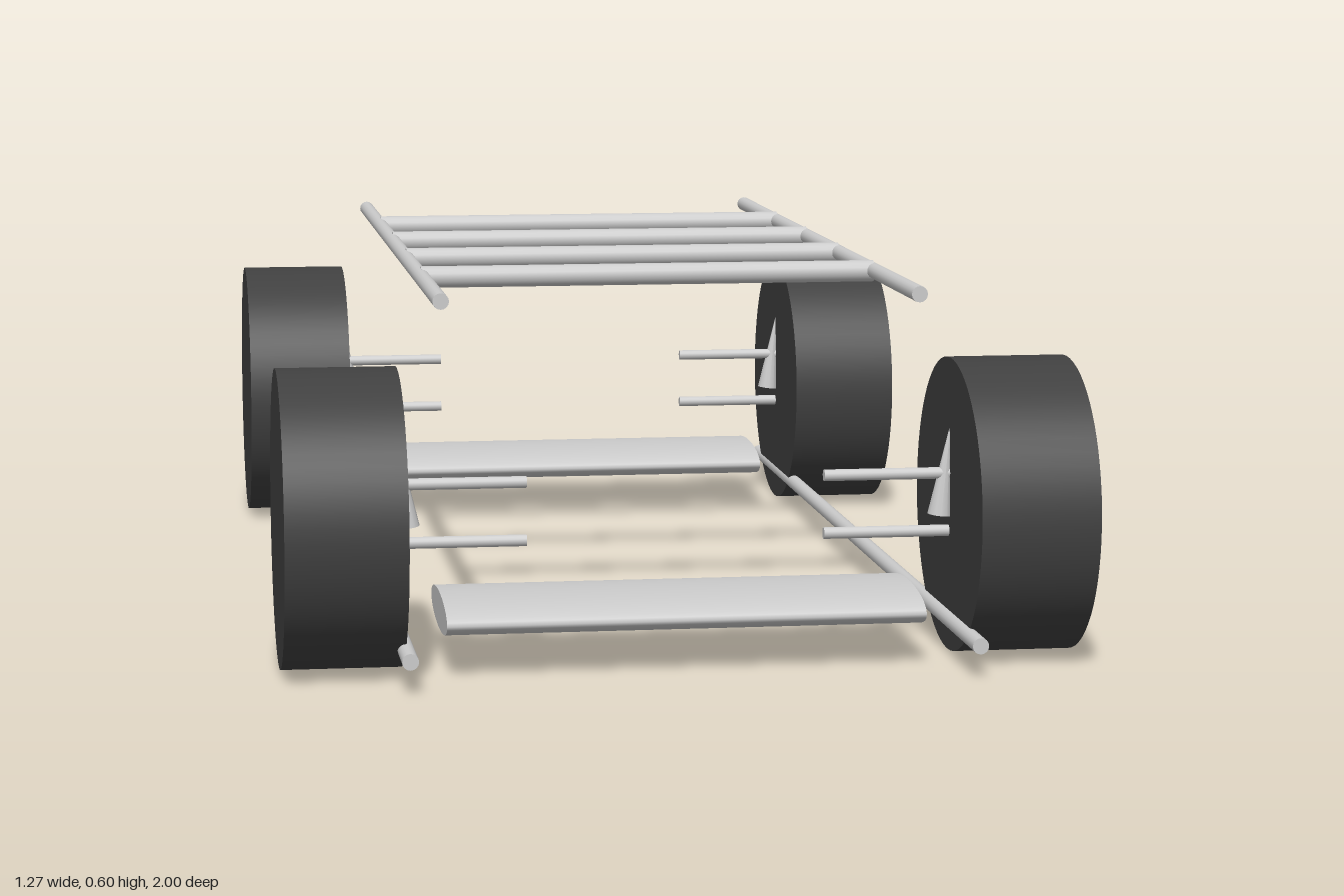
import * as THREE from 'three';

const grey = new THREE.MeshStandardMaterial({ color: 0xcccccc });
const rubber = new THREE.MeshStandardMaterial({ color: 0x404040 });

// Round bar between two points
function bar(name, a, b, r, sides = 16, rTop = r) {
  const from = new THREE.Vector3(...a);
  const dir = new THREE.Vector3(...b).sub(from);
  const mesh = new THREE.Mesh(new THREE.CylinderGeometry(rTop, r, dir.length(), sides), grey);
  mesh.position.copy(from).addScaledVector(dir, 0.5);
  mesh.quaternion.setFromUnitVectors(new THREE.Vector3(0, 1, 0), dir.normalize());
  mesh.name = name;
  return mesh;
}

// Wheel with its two suspension arms and tapered upright
function corner(side, end) {
  const g = new THREE.Group();
  g.name = (end > 0 ? 'front' : 'rear') + (side > 0 ? 'Left' : 'Right') + 'Corner';
  const shift = 0.005 * end;
  const wheel = new THREE.Mesh(new THREE.CylinderGeometry(0.2375, 0.2375, 0.19, 64), rubber);
  wheel.name = 'wheel';
  wheel.rotation.z = Math.PI / 2;
  wheel.position.set(side * (0.535 + shift), 0.2375, 0);
  g.add(wheel);
  for (const [name, y] of [['upperArm', 0.288], ['lowerArm', 0.194]]) {
    g.add(bar(name, [side * 0.24, y, 0], [side * 0.45, y, 0], 0.0095));
  }
  g.add(bar('upright', [side * (0.424 + shift), 0.22, 0], [side * (0.441 + shift), 0.362, 0], 0.019, 12, 0.001));
  g.position.z = end * 0.762;
  return g;
}

export function createModel() {
  const model = new THREE.Group();
  model.name = 'openChassis';

  // Long rails
  for (const s of [-1, 1]) {
    const side = s > 0 ? 'left' : 'right';
    model.add(bar(side + 'LowerRail', [s * 0.445, 0.052, -1], [s * 0.445, 0.052, 1], 0.013));
    model.add(bar(side + 'UpperRail', [s * 0.38, 0.585, -0.825], [s * 0.38, 0.585, 0.825], 0.013));
  }

  // Roof rungs
  for (const z of [-0.457, -0.152, 0.152, 0.457]) {
    model.add(bar('crossbar', [-0.38, 0.584, z], [0.38, 0.584, z], 0.018));
  }

  for (const end of [-1, 1]) {
    // Flattened wing between the wheels
    const geo = new THREE.CylinderGeometry(1, 1, 0.76, 32).rotateZ(Math.PI / 2).scale(1, 0.03, 0.143);
    const wing = new THREE.Mesh(geo, grey);
    wing.name = end > 0 ? 'frontWing' : 'rearWing';
    wing.position.set(0, 0.085, end * 0.76);
    model.add(wing);
    for (const side of [-1, 1]) model.add(corner(side, end));
  }
  return model;
}
